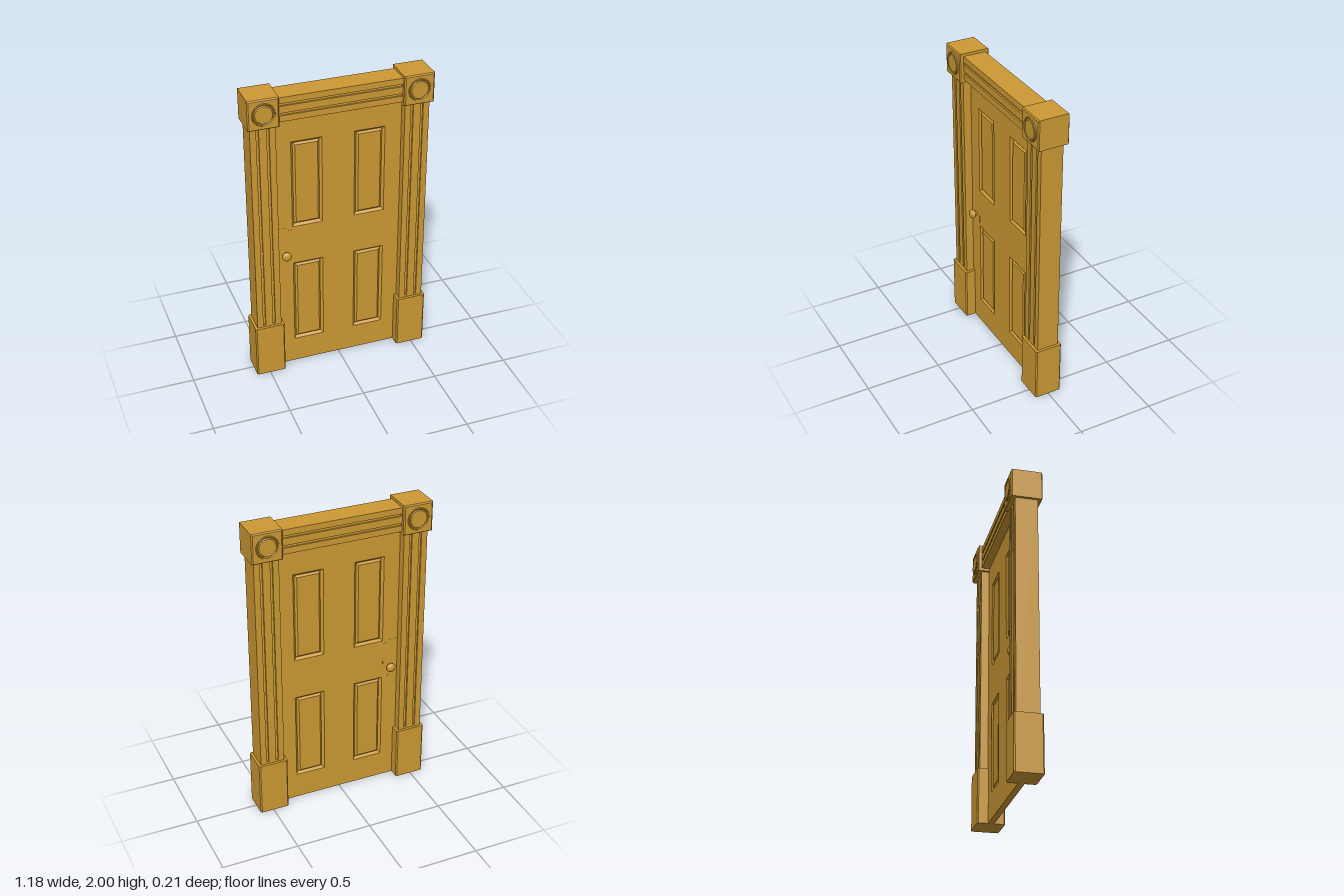
import * as THREE from 'three';

const wood = new THREE.MeshStandardMaterial({ color: 0xcc9933, flatShading: true });
const smoothWood = new THREE.MeshStandardMaterial({ color: 0xcc9933 });
const DOOR_Z = 0.02;

function mesh(name, geometry, parent, material = wood) {
  const m = new THREE.Mesh(geometry, material);
  m.name = name;
  parent.add(m);
  return m;
}

function rect(Type, x0, y0, x1, y1) {
  const s = new Type();
  s.moveTo(x0, y0);
  s.lineTo(x1, y0);
  s.lineTo(x1, y1);
  s.lineTo(x0, y1);
  s.closePath();
  return s;
}

// Closed prism with its depth centred on z = 0
function slab(shape, depth) {
  return new THREE.ExtrudeGeometry(shape, { depth, bevelEnabled: false }).translate(0, 0, -depth / 2);
}

// Upright board with two stopped flutes cut into both faces
function flutedBoard(name, width, length, depth, flutes, endGap) {
  const g = new THREE.Group();
  g.name = name;
  const groove = 0.01;
  mesh(name + 'Core', new THREE.BoxGeometry(width, length, depth - 2 * groove), g);
  const face = rect(THREE.Shape, -width / 2, -length / 2, width / 2, length / 2);
  for (const x of flutes) {
    const h = length / 2 - endGap;
    face.holes.push(rect(THREE.Path, x - 0.008, -h, x + 0.008, h));
  }
  for (const s of [1, -1]) {
    mesh(name + 'FlutedFace', slab(face, groove), g).position.z = s * (depth - groove) / 2;
  }
  return g;
}

// Raised panel in a sloped groove, built from nested rectangles [width, height, z]
function panelGeometry(rings) {
  const pos = [], index = [];
  for (const [w, h, z] of rings) {
    pos.push(-w / 2, -h / 2, z, w / 2, -h / 2, z, w / 2, h / 2, z, -w / 2, h / 2, z);
  }
  for (let r = 0; r < rings.length - 1; r++) {
    for (let i = 0; i < 4; i++) {
      const a = r * 4 + i, b = r * 4 + (i + 1) % 4;
      index.push(a, b, b + 4, a, b + 4, a + 4);
    }
  }
  const c = (rings.length - 1) * 4;
  index.push(c, c + 1, c + 2, c, c + 2, c + 3);
  const g = new THREE.BufferGeometry();
  g.setAttribute('position', new THREE.Float32BufferAttribute(pos, 3));
  g.setIndex(index);
  g.computeVertexNormals();
  return g;
}

function buildDoor() {
  const door = new THREE.Group();
  door.name = 'door';
  const W = 0.2, H = 0.6;
  const leaf = rect(THREE.Shape, -0.42, 0, 0.42, 1.84);
  const centres = [];
  for (const x of [-0.205, 0.205]) for (const y of [0.477, 1.35]) centres.push([x, y]);
  for (const [x, y] of centres) {
    leaf.holes.push(rect(THREE.Path, x - W / 2, y - H / 2, x + W / 2, y + H / 2));
  }
  mesh('doorLeaf', slab(leaf, DOOR_Z * 2), door);

  const panel = panelGeometry([
    [W, H, DOOR_Z], [W - 0.03, H - 0.03, 0.005], [W - 0.055, H - 0.055, 0.016],
  ]);
  const plate = rect(THREE.Shape, -0.42, 0.8, -0.31, 1.03);
  const knobProfile = [[0.012, 0], [0.012, 0.012], [0.022, 0.016], [0.029, 0.024],
    [0.031, 0.033], [0.027, 0.042], [0.016, 0.048], [0, 0.05]];
  const knob = new THREE.LatheGeometry(knobProfile.map(p => new THREE.Vector2(...p)), 24)
    .rotateX(Math.PI / 2);

  for (const s of [1, -1]) {
    const turn = s > 0 ? 0 : Math.PI;
    for (const [x, y] of centres) {
      const p = mesh('doorPanel', panel, door);
      p.position.set(x, y, 0);
      p.rotation.y = turn;
    }
    // Thin lock plate with stepped ends
    mesh('lockPlate', slab(plate, 0.002), door).position.z = s * DOOR_Z;
    for (const y of [0.79, 1.04]) {
      mesh('lockPlateEnd', new THREE.BoxGeometry(0.06, 0.02, 0.002), door)
        .position.set(-0.375, y, s * DOOR_Z);
    }
    const k = mesh('doorKnob', knob, door, smoothWood);
    k.position.set(-0.355, 0.855, s * DOOR_Z);
    k.rotation.y = turn;
  }
  return door;
}

// Square plinth with chamfered upright edges
function plinthGeometry() {
  const x = 0.0975, z = 0.09, c = 0.008;
  const s = new THREE.Shape([[x, -z + c], [x, z - c], [x - c, z], [-x + c, z],
    [-x, z - c], [-x, -z + c], [-x + c, -z], [x - c, -z]].map(p => new THREE.Vector2(...p)));
  return slab(s, 0.365).rotateX(-Math.PI / 2);
}

// Corner block with chamfered faces and a round rosette front and back
function buildCornerBlock() {
  const g = new THREE.Group();
  g.name = 'cornerBlock';
  const body = new THREE.ExtrudeGeometry(rect(THREE.Shape, -0.0975, -0.0975, 0.0975, 0.0975), {
    depth: 0.19, bevelSize: 0.008, bevelOffset: -0.008, bevelThickness: 0.006, bevelSegments: 1,
  }).translate(0, 0, -0.095);
  mesh('cornerBlockBody', body, g);
  const profile = [[0.074, 0.099], [0.07, 0.106], [0.065, 0.106], [0.06, 0.1015],
    [0.054, 0.106], [0, 0.106]];
  const rosette = new THREE.LatheGeometry(profile.map(p => new THREE.Vector2(...p)), 40)
    .rotateX(Math.PI / 2);
  for (const turn of [0, Math.PI]) mesh('rosette', rosette, g).rotation.y = turn;
  return g;
}

export function createModel() {
  const model = new THREE.Group();
  model.name = 'panelledDoorWithFrame';
  model.add(buildDoor());

  // Side posts, plinths and corner blocks
  for (const s of [1, -1]) {
    const side = s > 0 ? 'left' : 'right';
    const post = flutedBoard(side + 'Post', 0.16, 1.45, 0.145, [-0.0325, 0.0325], 0.018);
    post.position.set(s * 0.491, 1.085, 0);
    model.add(post);
    mesh(side + 'Plinth', plinthGeometry(), model).position.set(s * 0.491, 0.1825, 0);
    const block = buildCornerBlock();
    block.name = side + 'CornerBlock';
    block.position.set(s * 0.491, 1.9025, 0);
    model.add(block);
  }

  // Head rail across the top
  const head = flutedBoard('headRail', 0.158, 0.8, 0.15, [-0.031, 0.031], 0.01);
  head.rotation.z = Math.PI / 2;
  head.position.y = 1.903;
  model.add(head);
  return model;
}
